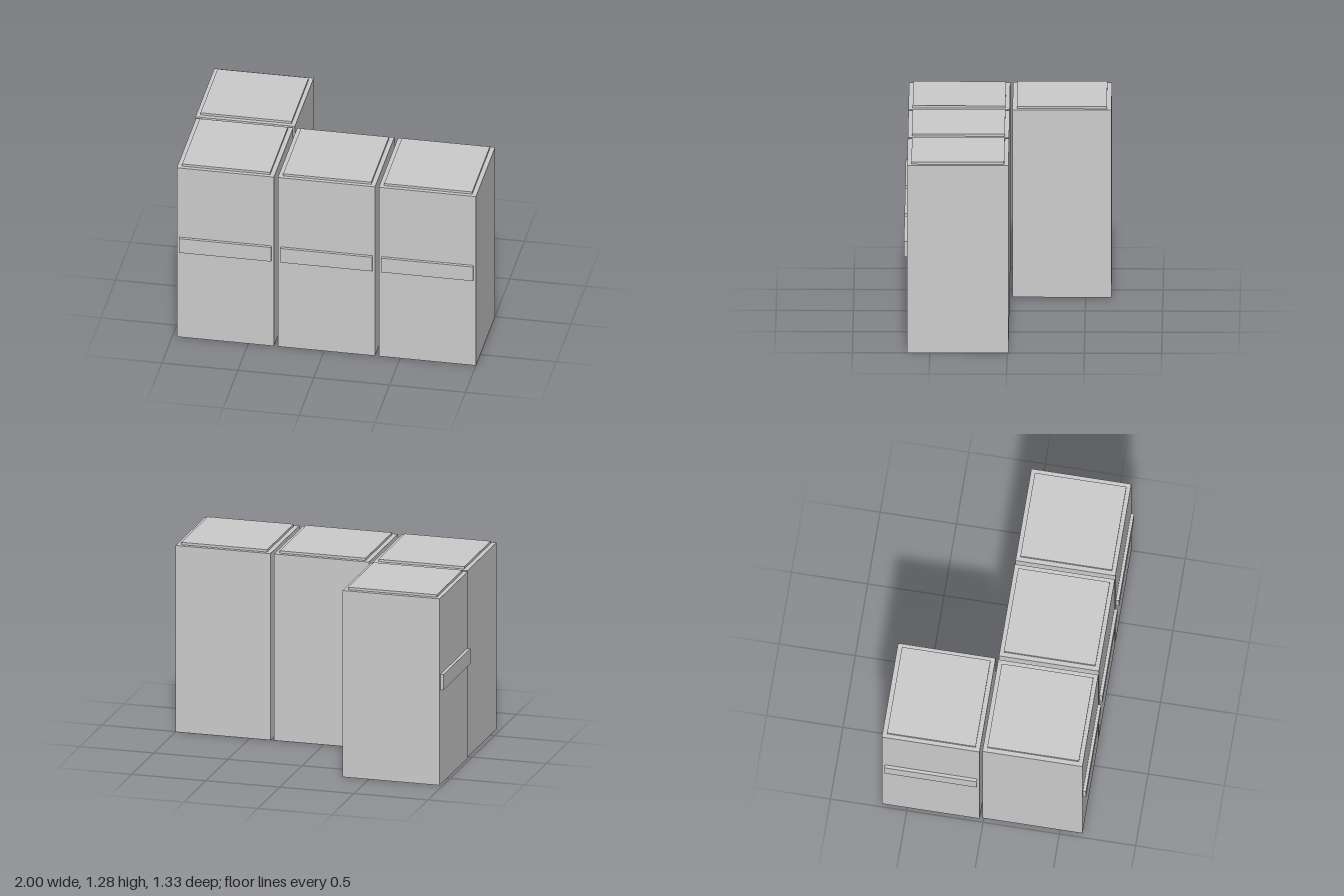
import * as THREE from 'three';

const grey = new THREE.MeshStandardMaterial({ color: 0xcccccc });
grey.name = 'plain grey';

function box(name, w, h, d, x, y, z) {
  const mesh = new THREE.Mesh(new THREE.BoxGeometry(w, h, d), grey);
  mesh.name = name;
  mesh.position.set(x, y, z);
  return mesh;
}

// One cabinet with its handle facing local +z
function cabinet(name, x, z, turn = 0) {
  const group = new THREE.Group();
  group.name = name;
  const w = 0.64, h = 1.26, d = 0.655;
  group.add(
    box('cabinetBody', w, h, d, 0, h / 2, 0),
    box('topPanel', 0.58, 0.016, 0.6, 0, h + 0.008, 0),
    box('handleBar', 0.605, 0.105, 0.021, 0.0025, 0.6925, d / 2 + 0.0105),
  );
  group.position.set(x, 0, z);
  group.rotation.y = turn;
  return group;
}

export function createModel() {
  const model = new THREE.Group();
  model.name = 'cabinetRow';

  // Front row of three
  [-0.651, 0.015, 0.68].forEach((x, i) => {
    model.add(cabinet('frontCabinet' + (i + 1), x, 0.3185));
  });

  // Corner cabinet, turned to face the right side
  model.add(cabinet('cornerCabinet', -0.651, -0.347, -Math.PI / 2));
  return model;
}
